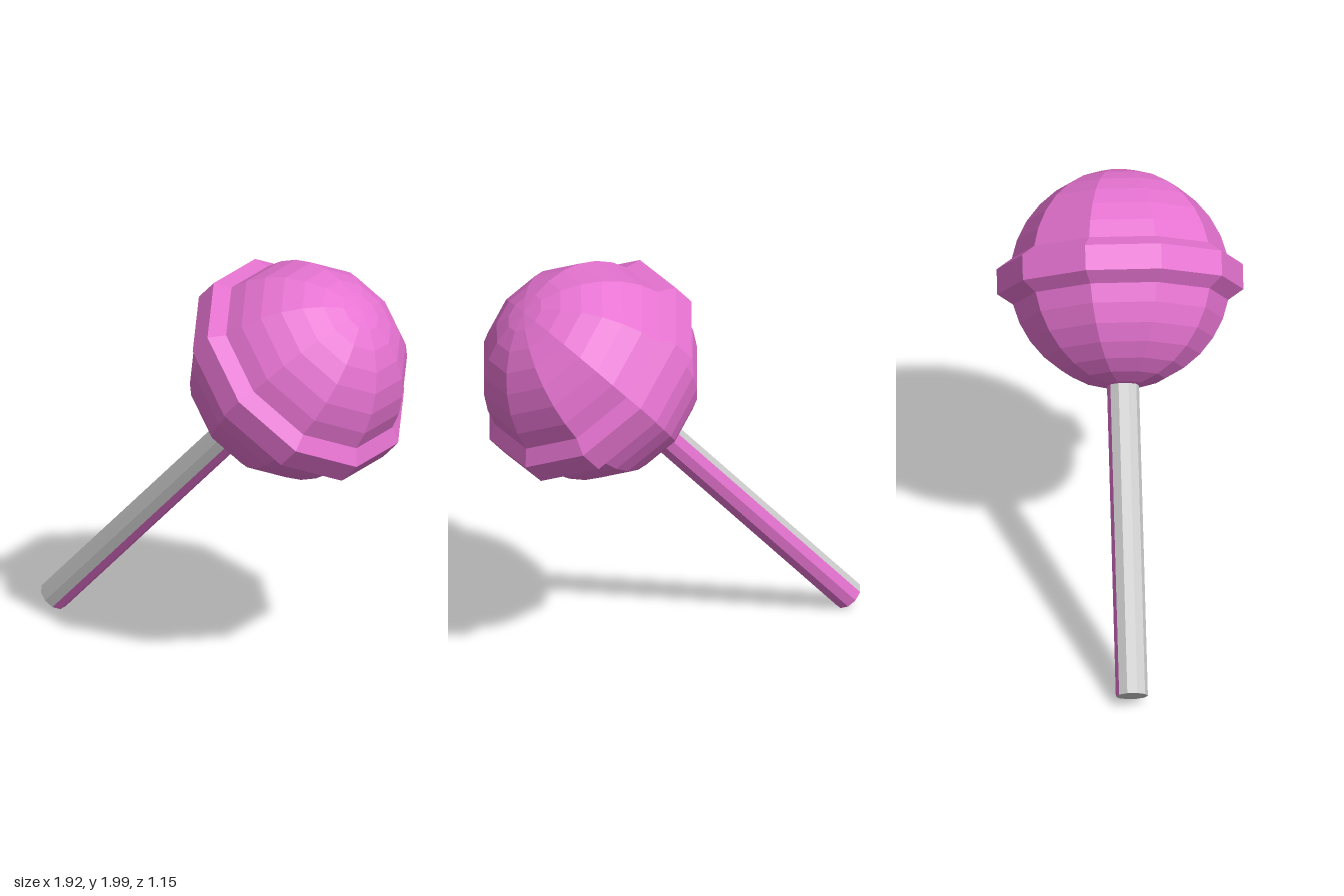
import * as THREE from 'three';

const SIDES = 10;
const pink = new THREE.MeshStandardMaterial({ color: 0xe673d1, flatShading: true });
const grey = new THREE.MeshStandardMaterial({ color: 0xcccccc, flatShading: true });

function addPart(parent, name, geometry, material) {
  const mesh = new THREE.Mesh(geometry, material);
  mesh.name = name;
  parent.add(mesh);
  return mesh;
}

export function createModel() {
  const model = new THREE.Group();
  model.name = 'lollipop';

  // Everything is built around the ball centre along y, then tilted
  const tilted = new THREE.Group();
  tilted.name = 'tiltedLollipop';
  tilted.position.set(0.455, 1.495, 0);
  tilted.rotation.z = -0.757;
  model.add(tilted);

  // Candy ball, with a corner line facing front and back
  addPart(tilted, 'candyBall', new THREE.SphereGeometry(0.515, SIDES, 16, Math.PI / 2), pink);

  // Bevelled band around the equator, its edges sunk into the ball
  const band = [[0.48, -0.125], [0.575, -0.06], [0.575, 0.06], [0.48, 0.125]]
    .map(([r, y]) => new THREE.Vector2(r, y));
  addPart(tilted, 'candyBand', new THREE.LatheGeometry(band, SIDES), pink);

  // Two-tone stick: one half pink, the other half grey
  const radius = 0.075, top = -0.42, bottom = -1.983;
  const start = Math.PI / 5;
  [['stickPinkHalf', pink, start], ['stickGreyHalf', grey, start + Math.PI]].forEach(([name, material, angle]) => {
    const half = new THREE.CylinderGeometry(radius, radius, top - bottom, SIDES / 2, 1, true, angle, Math.PI);
    addPart(tilted, name, half, material).position.y = (top + bottom) / 2;
  });

  // Flat end of the stick
  const cap = new THREE.CircleGeometry(radius, SIDES, Math.PI / 2).rotateX(Math.PI / 2);
  addPart(tilted, 'stickEnd', cap, grey).position.y = bottom;

  return model;
}
